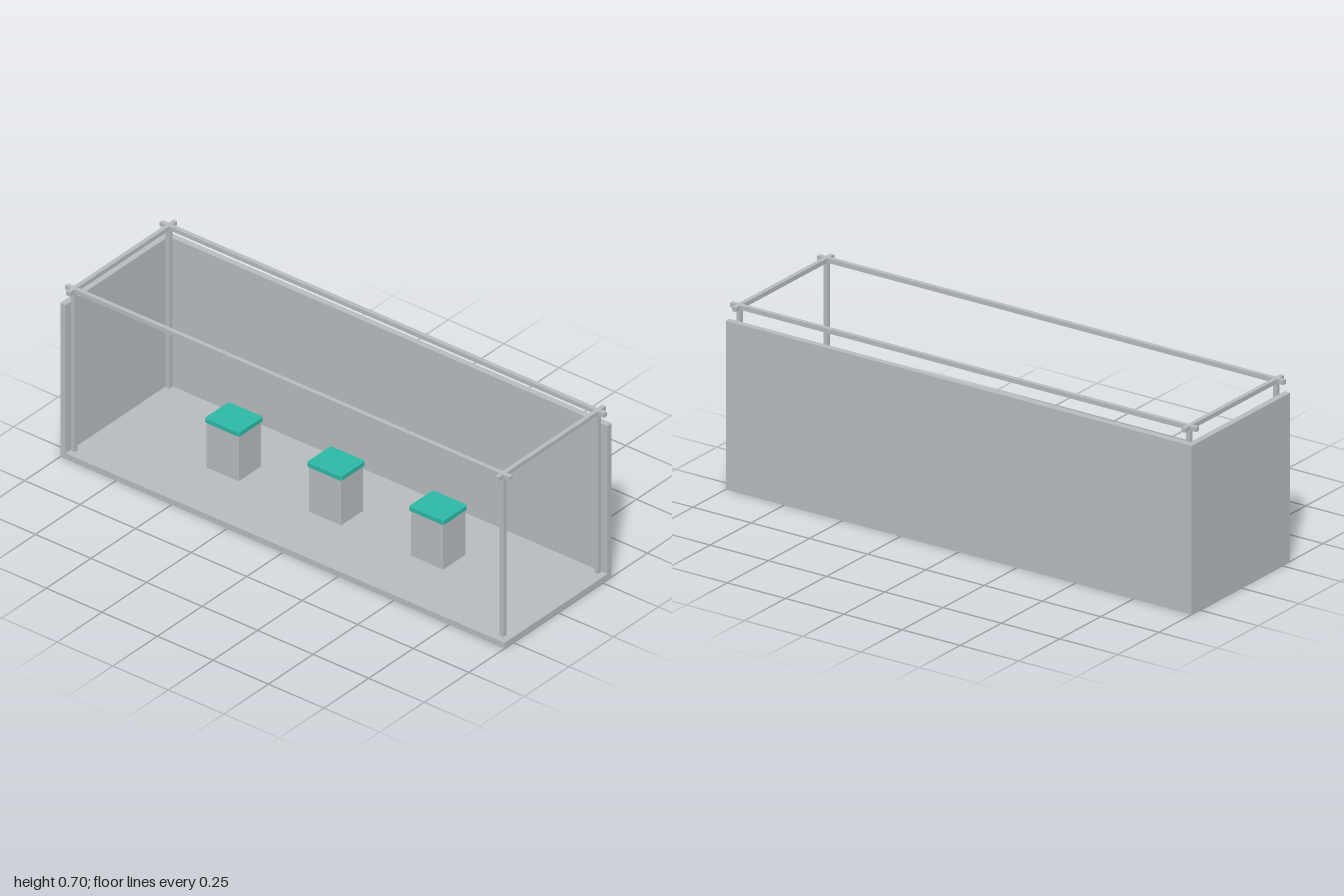
import * as THREE from 'three';

const W = 2, D = 0.6, T = 0.024;   // footprint and panel thickness
const WALL_TOP = 0.64, TOP = 0.7;
const BAR = 0.017;                 // square bar section
const BX = 0.965, BZ = 0.265;      // bar centre lines

export function createModel() {
  const group = new THREE.Group();
  const grey = new THREE.MeshStandardMaterial({ color: 0xb8bcbf });
  grey.name = 'panelGrey';
  const teal = new THREE.MeshStandardMaterial({ color: 0x2eb8a6 });
  teal.name = 'tealTop';

  // box given by its size, centre x/z and underside height
  const box = (name, w, h, d, x, y, z) => {
    const mesh = new THREE.Mesh(new THREE.BoxGeometry(w, h, d), grey);
    mesh.name = name;
    mesh.position.set(x, y + h / 2, z);
    group.add(mesh);
  };

  // floor with a back wall and one closed end
  box('floor', W, T, D, 0, 0, 0);
  box('backWall', W, WALL_TOP - T, T, 0, T, -D / 2 + T / 2);
  box('endWall', T, WALL_TOP - T, D - T, -W / 2 + T / 2, T, T / 2);

  // frame: four posts and crossing top rails
  for (const s of [-1, 1]) {
    for (const t of [-1, 1]) box('post', BAR, TOP - BAR - T, BAR, s * BX, T, t * BZ);
    box('longRail', W, BAR, BAR, 0, TOP - BAR, s * BZ);
    // short rails are split where they cross the long rails
    box('shortRail', BAR, BAR, 2 * BZ - BAR, s * BX, TOP - BAR, 0);
    const stub = D / 2 - BZ - BAR / 2;
    for (const t of [-1, 1]) box('railEnd', BAR, BAR, stub, s * BX, TOP - BAR, t * (D / 2 - stub / 2));
  }

  // slab outline with slightly rounded corners
  const w = 0.078, d = 0.068, r = 0.008;
  const outline = new THREE.Shape();
  outline.absarc(w - r, d - r, r, 0, Math.PI / 2);
  outline.absarc(-w + r, d - r, r, Math.PI / 2, Math.PI);
  outline.absarc(-w + r, -d + r, r, Math.PI, Math.PI * 1.5);
  outline.absarc(w - r, -d + r, r, Math.PI * 1.5, Math.PI * 2);
  const slab = new THREE.ExtrudeGeometry(outline, { depth: 0.017, bevelEnabled: false, curveSegments: 4 });
  slab.rotateX(-Math.PI / 2);

  // three display stands
  for (const x of [-0.46, 0, 0.46]) {
    box('standBody', 0.145, 0.213 - T, 0.124, x, T, 0);
    const top = new THREE.Mesh(slab, teal);
    top.name = 'standTop';
    top.position.set(x, 0.213, 0);
    group.add(top);
  }
  return group;
}
